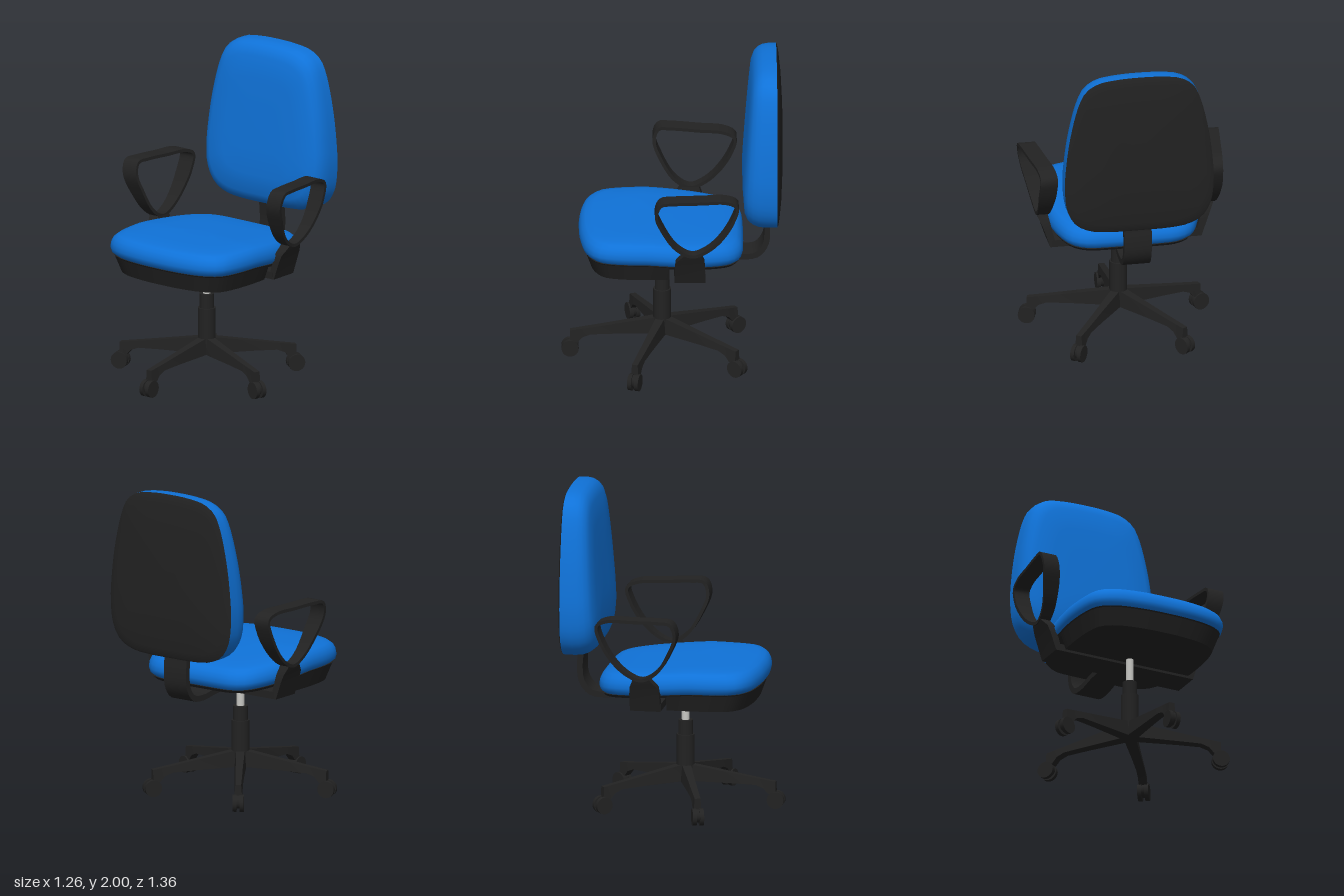
import * as THREE from 'three';
import { toCreasedNormals } from 'three/addons/utils/BufferGeometryUtils.js';

const V = (x, y, z) => new THREE.Vector3(x, y, z);
const material = (name, color) => {
  const m = new THREE.MeshStandardMaterial({ color });
  m.name = name;
  return m;
};

// Skin over a list of closed rings; each ring runs counter-clockwise about the direction of travel
function skin(rings, crease = 0.7) {
  const n = rings[0].length, index = [];
  for (let i = 0; i < rings.length - 1; i++) {
    for (let j = 0; j < n; j++) {
      const k = (j + 1) % n;
      const a = i * n + j, b = i * n + k, c = b + n, d = a + n;
      index.push(a, b, c, a, c, d);
    }
  }
  const g = new THREE.BufferGeometry().setFromPoints(rings.flat());
  g.setIndex(index);
  return toCreasedNormals(g, crease);
}

// Close both ends by adding rings collapsed to their centres
function capped(rings) {
  const collapse = r => {
    const c = r.reduce((s, p) => s.add(p), V(0, 0, 0)).divideScalar(r.length);
    return r.map(() => c.clone());
  };
  return [collapse(rings[0]), ...rings, collapse(rings[rings.length - 1])];
}

// Mirror half an outline in x and smooth it into a closed curve
function outline(half, count = 72) {
  const mirrored = half.filter(p => p[0] > 0).reverse().map(([x, y]) => [-x, y]);
  const pts = [...half, ...mirrored].map(([x, y]) => V(x, y, 0));
  return new THREE.CatmullRomCurve3(pts, true).getSpacedPoints(count).slice(0, count);
}

// Flat strip swept along (z, y) points; centre and half width in x come from functions
function strip(points, closed, thick, centre, half, count) {
  const curve = new THREE.CatmullRomCurve3(points.map(([z, y]) => V(0, y, z)), closed);
  const rings = [];
  for (let i = 0; i <= count; i++) {
    const p = curve.getPointAt(i / count), t = curve.getTangentAt(i / count);
    const v = t.cross(V(1, 0, 0)).multiplyScalar(thick / 2);
    const cx = centre(p), h = half(p);
    rings.push([[1, 1], [-1, 1], [-1, -1], [1, -1]].map(([u, w]) =>
      V(cx + u * h, p.y + w * v.y, p.z + w * v.z)));
  }
  return skin(closed ? rings : capped(rings));
}

export function createModel() {
  const model = new THREE.Group();
  model.name = 'officeChair';
  const blue = material('blueFabric', 0x0f72d8);
  const black = material('blackPlastic', 0x222222);
  const steel = material('paleSteel', 0xc8c8c4);
  const add = (parent, name, geometry, mat, x = 0, y = 0, z = 0) => {
    const mesh = new THREE.Mesh(geometry, mat);
    mesh.name = name;
    mesh.position.set(x, y, z);
    parent.add(mesh);
    return mesh;
  };

  // Seat: cushion over a thin pan, with a deeper shell under the front
  const seatLine = outline([[0, 0.572], [0.17, 0.565], [0.34, 0.53], [0.435, 0.465], [0.47, 0.36],
    [0.485, 0.1], [0.47, -0.1], [0.435, -0.26], [0.38, -0.37], [0.29, -0.425], [0.15, -0.436], [0, -0.437]]);
  const tilt = z => 0.045 * THREE.MathUtils.clamp((0.15 - z) / 0.55, 0, 1);
  const seatRing = ([s, y], zMin = -1) => seatLine.map(p => {
    const z = Math.max(0.07 + (p.y - 0.07) * s, zMin);
    return V(p.x * s, y - tilt(z), z);
  });
  add(model, 'seatCushion', skin([[0, 0.8], [0.94, 0.8], [0.985, 0.82], [1, 0.85], [0.99, 0.88], [0.965, 0.907],
    [0.92, 0.926], [0.84, 0.936], [0.6, 0.94], [0.3, 0.942], [0, 0.942]].map(r => seatRing(r)), 1), blue);
  add(model, 'seatPan', skin([[0, 0.785], [0.94, 0.785], [0.965, 0.803], [0, 0.803]].map(r => seatRing(r))), black);
  const shell = [[0.88, 0.69], [0.96, 0.803]].map(([s, y]) =>
    seatRing([s, y], 0.02).map(p => V(p.x, y === 0.69 ? y : p.y, p.z)));
  add(model, 'seatShell', skin(capped(shell)), black);

  // Backrest: cushion that thins towards the top, with a domed rear panel
  const backLine = outline([[0, 0.968], [0.18, 0.97], [0.3, 0.985], [0.39, 1.03], [0.445, 1.12], [0.465, 1.27],
    [0.458, 1.42], [0.43, 1.63], [0.378, 1.84], [0.335, 1.925], [0.26, 1.975], [0.14, 1.995], [0, 2]]);
  const backRing = ([s, d]) => backLine.map(p => {
    const y = 1.47 + (p.y - 1.47) * s;
    const thin = d > 0 ? 1 - 0.25 * THREE.MathUtils.clamp((y - 1.2) / 0.75, 0, 1) : 1;
    return V(p.x * s, y, -0.643 + d * thin);
  });
  add(model, 'backCushion', skin([[1, 0], [1, 0.07], [0.99, 0.115], [0.965, 0.15], [0.92, 0.18], [0.84, 0.2],
    [0.6, 0.21], [0.3, 0.212], [0, 0.212]].map(backRing), 1), blue);
  add(model, 'backPanel', skin([[0, -0.037], [0.4, -0.034], [0.7, -0.026], [0.9, -0.014], [0.98, -0.006],
    [1, 0]].map(backRing)), black);

  // Curved support from under the seat up to the backrest
  add(model, 'backSupport', strip([[-0.15, 0.715], [-0.3, 0.708], [-0.42, 0.69], [-0.52, 0.703], [-0.573, 0.77],
    [-0.585, 0.86], [-0.578, 0.96], [-0.575, 1.1]], false, 0.036, () => 0, () => 0.086, 32), black);
  add(model, 'armCrossbar', new THREE.BoxGeometry(0.92, 0.045, 0.19), black, 0, 0.7125, -0.105);

  // Armrests: leaning loop on a tapering bracket
  const loop = [[-0.115, 0.9], [-0.02, 0.955], [0.065, 1.09], [0.103, 1.2], [0.075, 1.275], [0, 1.282],
    [-0.17, 1.277], [-0.33, 1.27], [-0.393, 1.235], [-0.37, 1.14], [-0.29, 1.01], [-0.2, 0.93]];
  const bracket = [[0.69, -0.01, -0.2, 0.452, 0.02], [0.8, -0.012, -0.198, 0.485, 0.024],
    [0.85, -0.018, -0.193, 0.5, 0.028], [0.885, -0.05, -0.178, 0.512, 0.032], [0.91, -0.07, -0.17, 0.518, 0.034]];
  for (const side of [1, -1]) {
    const arm = new THREE.Group();
    arm.name = side > 0 ? 'leftArmrest' : 'rightArmrest';
    model.add(arm);
    const rise = p => THREE.MathUtils.clamp((p.y - 0.9) / 0.38, 0, 1);
    add(arm, 'armLoop', strip(loop, true, 0.02,
      p => side * THREE.MathUtils.lerp(0.518, 0.566 + 0.127 * p.z, rise(p)),
      p => 0.035 + 0.018 * Math.min(1, rise(p) * 1.8), 64), black);
    add(arm, 'armBracket', skin(capped(bracket.map(([y, f, r, x, h]) =>
      [V(side * x + h, y, f), V(side * x + h, y, r), V(side * x - h, y, r), V(side * x - h, y, f)]))), black);
  }

  // Gas lift column
  const base = new THREE.Group();
  base.name = 'base';
  base.position.z = 0.06;
  model.add(base);
  const tube = (name, r, y0, y1, mat) =>
    add(base, name, new THREE.CylinderGeometry(r, r, y1 - y0, 32), mat, 0, (y0 + y1) / 2, 0);
  tube('piston', 0.024, 0.5, 0.71, steel);
  tube('upperSleeve', 0.045, 0.42, 0.535, black);
  tube('lowerSleeve', 0.055, 0.155, 0.445, black);

  // Five legs with twin-wheel castors: radius, top, bottom, half width
  const leg = skin(capped([[0, 0.262, 0.155, 0.036], [0.06, 0.253, 0.155, 0.036], [0.3, 0.212, 0.15, 0.029],
    [0.44, 0.188, 0.145, 0.027], [0.49, 0.18, 0.125, 0.026], [0.52, 0.175, 0.09, 0.025],
    [0.565, 0.168, 0.09, 0.024]].map(([r, t, b, w]) =>
    [V(r, t, 0.75 * w), V(r, b, w), V(r, b, -w), V(r, t, -0.75 * w)])));
  const wheel = new THREE.CylinderGeometry(0.053, 0.053, 0.025, 24).rotateX(Math.PI / 2);
  const fork = new THREE.CylinderGeometry(0.042, 0.042, 0.03, 20).rotateX(Math.PI / 2);
  for (let i = 0; i < 5; i++) {
    const spoke = new THREE.Group();
    spoke.name = 'leg' + (i + 1);
    spoke.rotation.y = -Math.PI / 2 + i * Math.PI * 2 / 5;
    base.add(spoke);
    add(spoke, 'legArm', leg, black);
    add(spoke, 'castorFork', fork, black, 0.56, 0.06, 0);
    for (const s of [1, -1]) add(spoke, 'castorWheel', wheel, black, 0.565, 0.053, s * 0.022);
  }
  return model;
}
